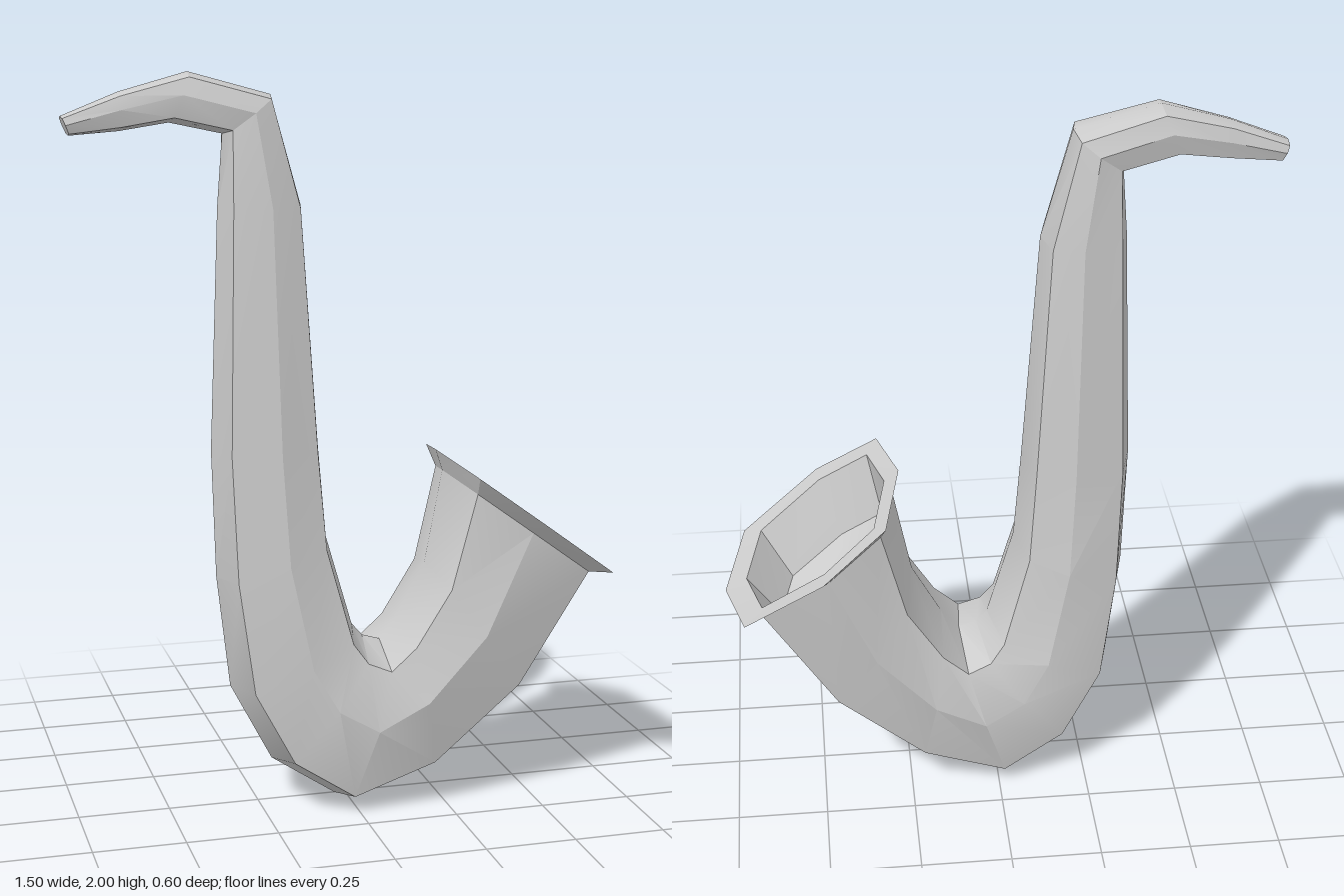
import * as THREE from 'three';
import { toCreasedNormals } from 'three/addons/utils/BufferGeometryUtils.js';

// Eight-sided, slightly squared cross-section: [along inner-outer axis, along z]
const SECTION = [[1, 0], [0.8, 0.8], [0.1, 1], [-0.78, 0.8], [-1, 0], [-0.78, -0.8], [0.1, -1], [0.8, -0.8]];

// A ring is [inner x, inner y, outer x, outer y, half width in z]; width 0 closes to a point
const MOUTHPIECE = [
  [-0.74, 1.865, -0.74, 1.865, 0],
  [-0.75, 1.89, -0.73, 1.84, 0.04],
  [-0.6, 1.95, -0.6, 1.85, 0.05],
  [-0.42, 2.0, -0.47, 1.87, 0.072],
  [-0.2, 1.94, -0.33, 1.84, 0.09],
];
const BODY = [
  MOUTHPIECE[4],
  [-0.12, 1.65, -0.345, 1.65, 0.115],
  [-0.075, 1.0, -0.37, 1.0, 0.148],
  [-0.055, 0.75, -0.36, 0.65, 0.17],
  [0.02, 0.49, -0.325, 0.34, 0.19],
  [0.05, 0.455, -0.21, 0.12, 0.205],
  [0.1, 0.44, -0.03, 0, 0.215],
  [0.15, 0.5, 0.22, 0.08, 0.215],
  [0.23, 0.65, 0.48, 0.29, 0.218],
  [0.28, 0.91, 0.69, 0.61, 0.235],
];
const BELL = [
  BODY[9],
  [0.26, 0.97, 0.75, 0.61, 0.3],     // flared rim
  [0.3, 0.94, 0.69, 0.645, 0.24],    // opening
  [0.27, 0.77, 0.6, 0.52, 0.18],     // foot of inner wall
  [0.4, 0.59, 0.4, 0.59, 0],         // bowl floor
];

// Skins a list of rings, skipping the empty triangles at closed ends
function skin(name, rings) {
  const n = SECTION.length, pos = [];
  const corner = ([ax, ay, bx, by, w], j) => {
    const [u, v] = SECTION[j % n];
    return [(ax + bx) / 2 + (ax - bx) / 2 * u, (ay + by) / 2 + (ay - by) / 2 * u, w * v];
  };
  for (let i = 0; i < rings.length - 1; i++) {
    const p = rings[i], q = rings[i + 1];
    for (let j = 0; j < n; j++) {
      const a = corner(p, j), b = corner(p, j + 1), c = corner(q, j + 1), d = corner(q, j);
      if (p[4] > 0) pos.push(...a, ...b, ...c);
      if (q[4] > 0) pos.push(...(p[4] > 0 ? a : b), ...c, ...d);
    }
  }
  const geo = new THREE.BufferGeometry();
  geo.setAttribute('position', new THREE.Float32BufferAttribute(pos, 3));
  const mesh = new THREE.Mesh(
    toCreasedNormals(geo, 0.5),
    new THREE.MeshStandardMaterial({ color: 0xcccccc, side: THREE.DoubleSide }),
  );
  mesh.name = name;
  return mesh;
}

export function createModel() {
  const group = new THREE.Group();
  group.name = 'saxophone';
  group.add(skin('mouthpiece', MOUTHPIECE), skin('body', BODY), skin('bell', BELL));
  return group;
}

function toCreasedNormalsCheck() {}
